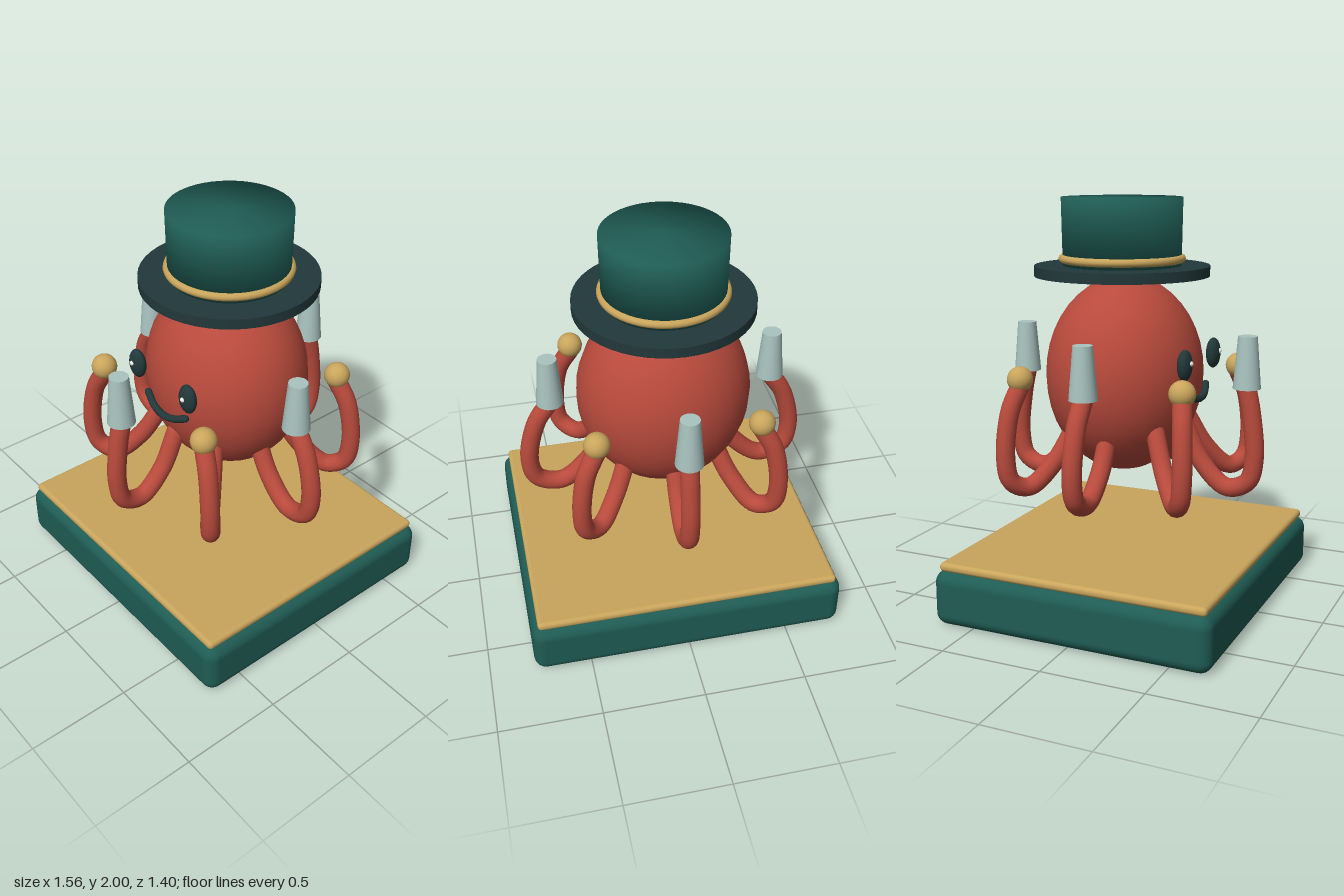
import * as THREE from 'three';
import { RoundedBoxGeometry } from 'three/addons/geometries/RoundedBoxGeometry.js';

const paint = (color) => new THREE.MeshStandardMaterial({ color });
const RED = paint(0xb84a3c), GREEN = paint(0x1f5c54), DARK = paint(0x22383a);
const GOLD = paint(0xc9a55c), SILVER = paint(0xa9c4c0), WHITE = paint(0xf2f2ea);
const v = (x, y, z) => new THREE.Vector3(x, y, z);

function add(parent, name, geometry, material, x = 0, y = 0, z = 0) {
  const mesh = new THREE.Mesh(geometry, material);
  mesh.name = name;
  mesh.position.set(x, y, z);
  parent.add(mesh);
  return mesh;
}

// Heights shared by all arms, from the head, round the bottom bend, to the tip
const ARM_Y = [0.91, 0.73, 0.62, 0.66, 0.78, 1.0, 1.12];
// Horizontal reach at each of those heights
const SIDE = [0.28, 0.38, 0.52, 0.64, 0.672, 0.625, 0.55];
const FRONT = [0.28, 0.37, 0.5, 0.605, 0.635, 0.615, 0.59];
const DIAG_X = [0.21, 0.29, 0.385, 0.46, 0.48, 0.45, 0.39];
const DIAG_Z = [0.21, 0.29, 0.38, 0.435, 0.452, 0.44, 0.415];
const NONE = ARM_Y.map(() => 0);

function makeArm(name, xs, zs, sx, sz) {
  const arm = new THREE.Group();
  arm.name = name;
  const pts = ARM_Y.map((y, i) => v(xs[i] * sx, y, zs[i] * sz));
  const path = new THREE.CatmullRomCurve3(pts);
  add(arm, 'armTube', new THREE.TubeGeometry(path, 48, 0.046, 14), RED);
  for (const p of [pts[0], pts[6]]) {
    add(arm, 'armEnd', new THREE.SphereGeometry(0.046, 14, 10), RED, p.x, p.y, p.z);
  }
  return { arm, tip: pts[6] };
}

export function createModel() {
  const model = new THREE.Group();
  model.name = 'octopusOnPlinth';

  // Plinth
  add(model, 'plinth', new RoundedBoxGeometry(1.56, 0.27, 1.4, 5, 0.06), GREEN, 0, 0.135, 0);
  add(model, 'plinthTop', new RoundedBoxGeometry(1.5, 0.044, 1.35, 4, 0.02), GOLD, 0, 0.286, 0);

  // Head
  add(model, 'head', new THREE.SphereGeometry(1, 28, 20), RED, 0, 1.145, -0.04)
    .scale.set(0.424, 0.482, 0.382);

  // Face
  for (const s of [-1, 1]) {
    const side = s > 0 ? 'left' : 'right';
    add(model, side + 'Eye', new THREE.SphereGeometry(1, 20, 14), DARK, s * 0.194, 1.241, 0.35)
      .scale.set(0.053, 0.075, 0.034);
    add(model, side + 'EyeGlint', new THREE.SphereGeometry(0.013, 10, 8), WHITE, s * 0.196, 1.252, 0.38);
  }
  const smile = new THREE.CatmullRomCurve3([
    v(-0.145, 1.092, 0.33), v(-0.075, 1.062, 0.35), v(0, 1.05, 0.357),
    v(0.075, 1.062, 0.35), v(0.145, 1.092, 0.33)]);
  add(model, 'mouth', new THREE.TubeGeometry(smile, 32, 0.018, 10), DARK);
  for (const s of [-1, 1]) {
    add(model, 'mouthCorner', new THREE.SphereGeometry(0.018, 10, 8), DARK, s * 0.145, 1.092, 0.33);
  }

  // Top hat
  const hat = new THREE.Group();
  hat.name = 'hat';
  hat.position.z = -0.056;
  model.add(hat);
  add(hat, 'brim', new THREE.CylinderGeometry(0.427, 0.427, 0.05, 48), DARK, 0, 1.65, 0);
  const crown = [[0, 1.67], [0.288, 1.67], [0.294, 2], [0, 2]].map((p) => new THREE.Vector2(...p));
  add(hat, 'crown', new THREE.LatheGeometry(crown, 48), GREEN);
  add(hat, 'hatBand', new THREE.TorusGeometry(0.289, 0.02, 10, 56), GOLD, 0, 1.708, 0).rotation.x = Math.PI / 2;

  // Straight arms with tapered cups
  for (const s of [-1, 1]) {
    for (const [name, xs, zs] of [
      [s > 0 ? 'leftArm' : 'rightArm', SIDE, NONE],
      [s > 0 ? 'frontArm' : 'backArm', NONE, FRONT]]) {
      const { arm, tip } = makeArm(name, xs, zs, s, s);
      add(arm, 'cup', new THREE.CylinderGeometry(0.046, 0.067, 0.25, 24), SILVER, tip.x, 1.242, tip.z);
      model.add(arm);
    }
  }

  // Diagonal arms with balls
  for (const sx of [-1, 1]) {
    for (const sz of [-1, 1]) {
      const name = (sz > 0 ? 'front' : 'back') + (sx > 0 ? 'Left' : 'Right') + 'Arm';
      const { arm, tip } = makeArm(name, DIAG_X, DIAG_Z, sx, sz);
      add(arm, 'ball', new THREE.SphereGeometry(0.063, 20, 14), GOLD, tip.x, 1.15, tip.z);
      model.add(arm);
    }
  }
  return model;
}
